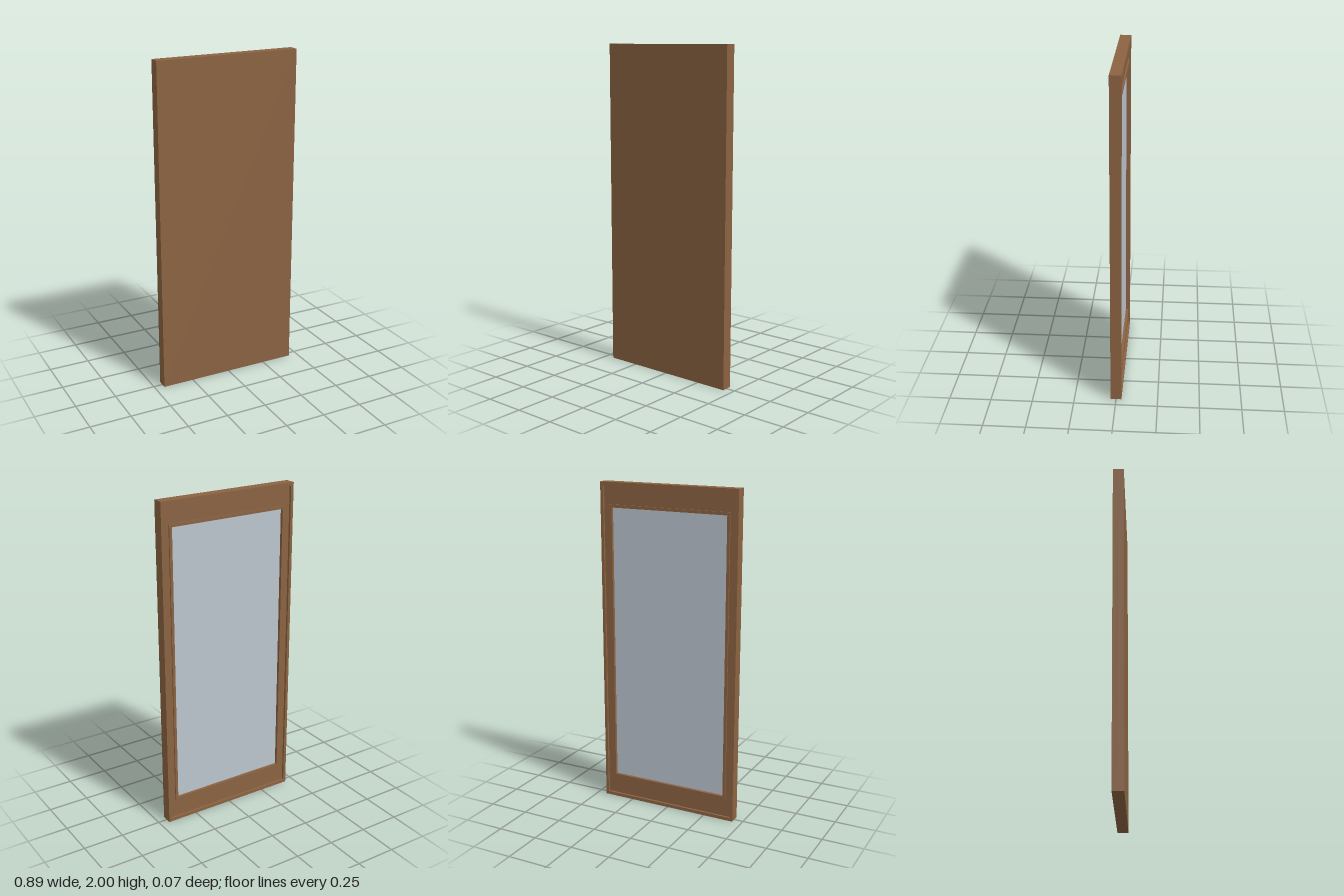
import * as THREE from 'three';

const W = 0.887, H = 2, D = 0.066; // overall width, height, depth
const BACK = -D / 2;

const wood = new THREE.MeshStandardMaterial({ color: 0x8b6342 });
wood.name = 'brown wood';
const silver = new THREE.MeshStandardMaterial({ color: 0xbcc5cf });
silver.name = 'silver glass';

// Rectangular path, inset from the outer edge by ix and iy
function rect(path, ix, iy) {
  const x = W / 2 - ix, y = H / 2 - iy;
  path.moveTo(-x, -y);
  path.lineTo(x, -y);
  path.lineTo(x, y);
  path.lineTo(-x, y);
  path.closePath();
  return path;
}

// Picture-frame ring between two insets, spanning z0..z1
function ring(name, outer, inner, z0, z1) {
  const shape = rect(new THREE.Shape(), ...outer);
  shape.holes.push(rect(new THREE.Path(), ...inner));
  const geo = new THREE.ExtrudeGeometry(shape, { depth: z1 - z0, bevelEnabled: false });
  geo.translate(0, H / 2, z0);
  const mesh = new THREE.Mesh(geo, wood);
  mesh.name = name;
  return mesh;
}

// Solid slab inset from the outer edge, spanning z0..z1
function slab(name, [ix, iy], z0, z1, material) {
  const geo = new THREE.BoxGeometry(W - 2 * ix, H - 2 * iy, z1 - z0);
  geo.translate(0, H / 2, (z0 + z1) / 2);
  const mesh = new THREE.Mesh(geo, material);
  mesh.name = name;
  return mesh;
}

export function createModel() {
  const group = new THREE.Group();
  group.name = 'framedMirror';

  const lipInner = [0.018, 0.02];
  const beadOuter = [0.054, 0.132];
  const beadInner = [0.071, 0.15];
  const frameZ = BACK + 0.014, beadZ = BACK + 0.006, glassZ = BACK + 0.024;

  group.add(
    slab('frontPanel', [0, 0], 0, D / 2, wood),
    ring('outerLip', [0, 0], lipInner, BACK, 0),        // raised border
    ring('flatFrame', lipInner, beadOuter, frameZ, 0),  // sunken flat band
    ring('innerBead', beadOuter, beadInner, beadZ, 0),  // raised bead around the glass
    slab('mirrorGlass', beadInner, glassZ, glassZ + 0.008, silver)
  );
  return group;
}
